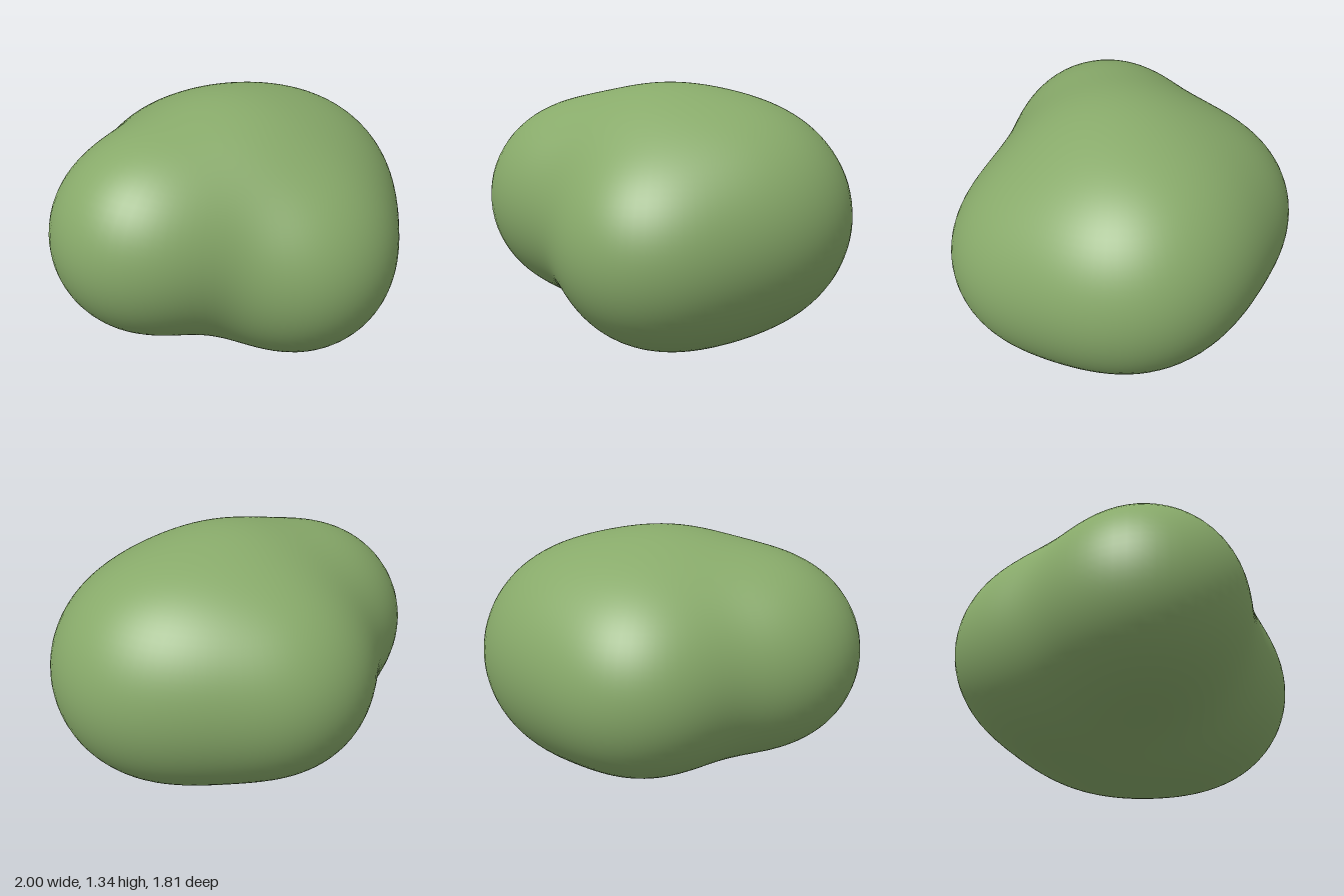
import * as THREE from 'three';

// Overlapping lobes that melt into one body: centre x, y, z and radius
const LOBES = [
  [-0.505, 0.71, -0.08, 0.485], // right-hand lobe (-x)
  [0.47, 0.65, 0.03, 0.50],     // left-hand lobe (+x)
  [0.10, 0.53, 0.42, 0.46],     // front lobe
  [0.08, 0.64, -0.44, 0.45],    // back lobe
  [0.00, 0.775, 0.00, 0.495],   // crown
  [0.27, 0.43, 0.20, 0.18],     // belly, lowest point
  [0.40, 0.64, 0.25, 0.20],     // filling between left and front
  [0.40, 0.74, -0.20, 0.28],    // filling between left and back, upper
  [0.36, 0.56, -0.22, 0.16],    // filling between left and back, lower
];
const BLEND = 7;
const CORE = new THREE.Vector3(0.03, 0.64, 0);

// Smooth union of the lobes: negative inside, positive outside
function field(p) {
  let sum = 0;
  for (const [x, y, z, r] of LOBES) {
    sum += Math.exp(-BLEND * (Math.hypot(p.x - x, p.y - y, p.z - z) - r));
  }
  return -Math.log(sum) / BLEND;
}

// Walk out from the core to the skin by bisection
function skinPoint(dir) {
  const p = new THREE.Vector3();
  let near = 0, far = 1.5;
  for (let i = 0; i < 30; i++) {
    const mid = (near + far) / 2;
    p.copy(CORE).addScaledVector(dir, mid);
    if (field(p) < 0) near = mid;
    else far = mid;
  }
  return p;
}

// Surface normal from the slope of the field
function skinNormal(p) {
  const e = 0.001;
  const slope = (axis) => {
    const a = p.clone(), b = p.clone();
    a[axis] += e;
    b[axis] -= e;
    return field(a) - field(b);
  };
  return new THREE.Vector3(slope('x'), slope('y'), slope('z')).normalize();
}

export function createModel() {
  const group = new THREE.Group();
  group.name = 'lumpyBlob';

  // Push a sphere's vertices out to the blended skin
  const geometry = new THREE.SphereGeometry(1, 96, 64);
  const position = geometry.attributes.position;
  const normal = geometry.attributes.normal;
  const dir = new THREE.Vector3();
  for (let i = 0; i < position.count; i++) {
    dir.fromBufferAttribute(position, i).normalize();
    const p = skinPoint(dir);
    const n = skinNormal(p);
    position.setXYZ(i, p.x, p.y, p.z);
    normal.setXYZ(i, n.x, n.y, n.z);
  }

  // Centre it and stand it on the floor
  geometry.computeBoundingBox();
  const box = geometry.boundingBox;
  const centre = box.getCenter(new THREE.Vector3());
  geometry.translate(-centre.x, -box.min.y, -centre.z);

  const body = new THREE.Mesh(geometry, new THREE.MeshStandardMaterial({ color: 0x88aa6a }));
  body.name = 'body';
  group.add(body);
  return group;
}
